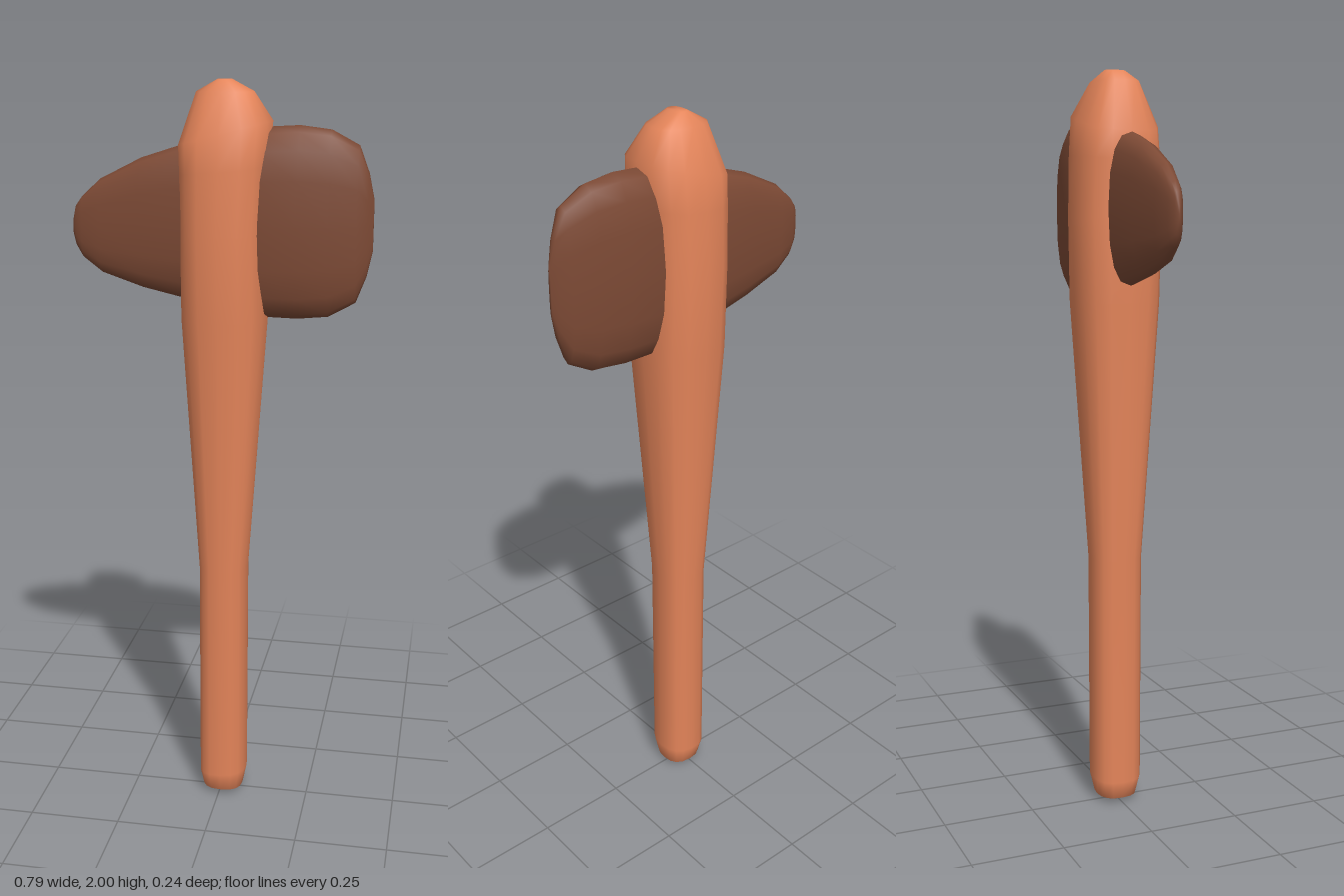
import * as THREE from 'three';

const SIDES = 16;

// Rounded-square ring point: exponent 2 is an ellipse, higher is boxier
const rounded = (angle, exponent) => {
  const f = (v) => Math.sign(v) * Math.pow(Math.abs(v), 2 / exponent);
  return [f(Math.cos(angle)), f(Math.sin(angle))];
};

// Skins a stack of rings with smooth normals and closes both ends with a fan
function loft(sections, exponent, place) {
  const positions = [];
  const index = [];
  for (const section of sections) {
    for (let j = 0; j < SIDES; j++) {
      const [u, v] = rounded((j / SIDES) * Math.PI * 2, exponent);
      positions.push(...place(section, u, v));
    }
  }
  const last = sections.length - 1;
  const first = positions.length / 3;
  positions.push(...place(sections[0], 0, 0), ...place(sections[last], 0, 0));
  for (let j = 0; j < SIDES; j++) {
    const k = (j + 1) % SIDES;
    for (let i = 0; i < last; i++) {
      const a = i * SIDES + j, b = i * SIDES + k;
      index.push(a, b, b + SIDES, a, b + SIDES, a + SIDES);
    }
    index.push(first, k, j, first + 1, last * SIDES + j, last * SIDES + k);
  }
  const geometry = new THREE.BufferGeometry();
  geometry.setAttribute('position', new THREE.Float32BufferAttribute(positions, 3));
  geometry.setIndex(index);
  geometry.computeVertexNormals();
  return geometry;
}

export function createModel() {
  const group = new THREE.Group();
  const add = (name, geometry, color) => {
    const mesh = new THREE.Mesh(geometry, new THREE.MeshStandardMaterial({ color }));
    mesh.name = name;
    group.add(mesh);
  };

  // Wooden handle: [y, left x, right x, half depth, rise from left to right]
  const handle = [
    [0.003, -0.02, 0.04, 0.03, 0],
    [0.017, -0.05, 0.062, 0.055, 0],
    [0.07, -0.06, 0.074, 0.068, 0.01],
    [0.70, -0.06, 0.074, 0.07, 0],
    [1.40, -0.104, 0.122, 0.115, 0],
    [1.62, -0.105, 0.118, 0.12, 0],
    [1.78, -0.107, 0.125, 0.115, 0.02],
    [1.87, -0.11, 0.131, 0.107, 0.06],
    [1.97, -0.065, 0.083, 0.06, 0],
    [2.0, -0.01, 0.025, 0.028, 0],
  ];
  add('handle', loft(handle, 2.5, ([y, x0, x1, d, rise], u, v) => [
    (x0 + x1) / 2 + (u * (x1 - x0)) / 2, y + (u * rise) / 2, -v * d,
  ]), 0xe5855a);

  // Stone head, pointed poll to broad blade: [x, bottom y, top y, half depth]
  const head = [
    [-0.396, 1.605, 1.645, 0.004],
    [-0.388, 1.575, 1.68, 0.012],
    [-0.37, 1.545, 1.705, 0.021],
    [-0.32, 1.507, 1.75, 0.033],
    [-0.21, 1.47, 1.805, 0.046],
    [-0.1, 1.445, 1.84, 0.06],
    [0.11, 1.402, 1.885, 0.072],
    [0.2, 1.4, 1.89, 0.067],
    [0.28, 1.408, 1.88, 0.055],
    [0.35, 1.447, 1.843, 0.037],
    [0.376, 1.515, 1.775, 0.018],
    [0.39, 1.58, 1.71, 0.004],
  ];
  add('head', loft(head, 2.5, ([x, y0, y1, d], u, v) => [
    x, (y0 + y1) / 2 + (u * (y1 - y0)) / 2, v * d,
  ]), 0x7d4a35);

  return group;
}
